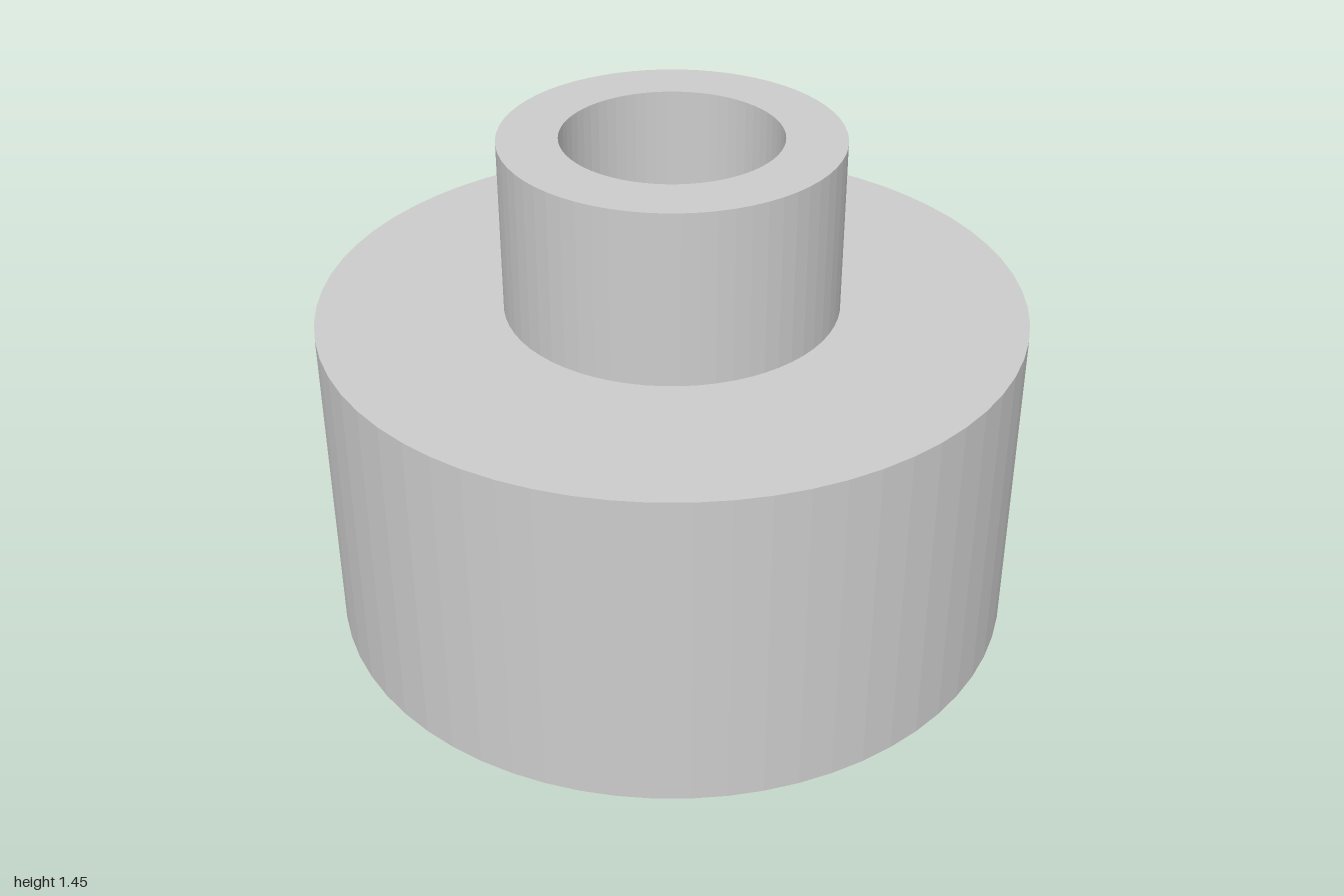
import * as THREE from 'three';

const BASE_RADIUS = 1, BASE_TOP = 0.95;
const NECK_RADIUS = 0.475, NECK_TOP = 1.45;
const BORE_RADIUS = 0.307;
const RECESS_RADIUS = 0.573, RECESS_DEPTH = 0.57;

export function createModel() {
  const group = new THREE.Group();
  group.name = 'steppedBushing';

  // Closed section: up the outside, across the top, down through the bore and recess
  const profile = [
    [RECESS_RADIUS, 0],
    [BASE_RADIUS, 0],
    [BASE_RADIUS, BASE_TOP],
    [NECK_RADIUS, BASE_TOP],
    [NECK_RADIUS, NECK_TOP],
    [BORE_RADIUS, NECK_TOP],
    [BORE_RADIUS, RECESS_DEPTH],
    [RECESS_RADIUS, RECESS_DEPTH],
    [RECESS_RADIUS, 0],
  ].map(([r, y]) => new THREE.Vector2(r, y));

  const body = new THREE.Mesh(
    new THREE.LatheGeometry(profile, 64),
    new THREE.MeshStandardMaterial({ color: 0xcccccc, flatShading: true })
  );
  body.name = 'bushingBody';
  group.add(body);
  return group;
}
